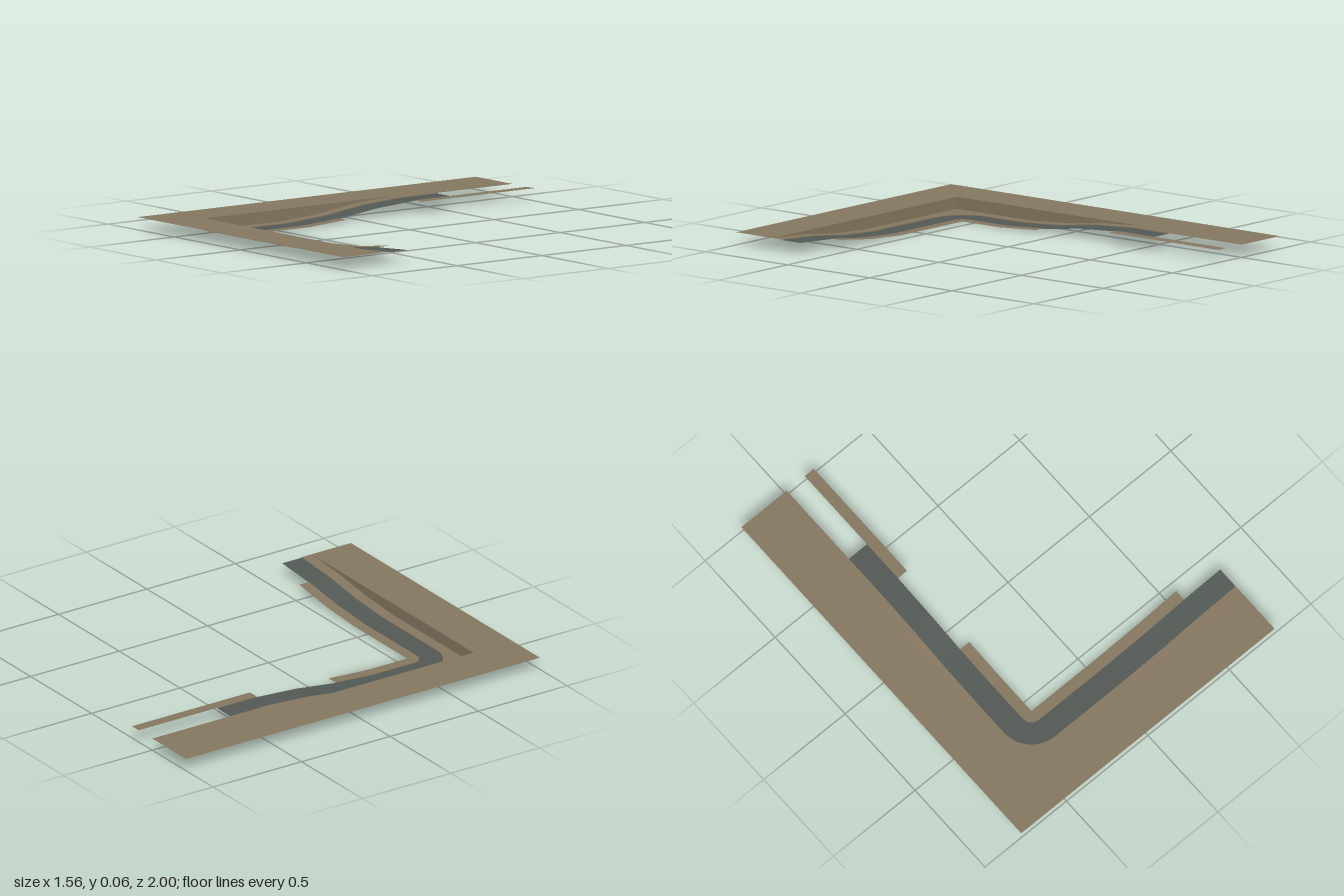
import * as THREE from 'three';

const U = 2 / 9;          // one tile
const TOP = 0.06;         // level of the high ground
const CURB = 0.003;       // step between verge and road
const CX = -1.5 * U, CZ = 2.5 * U; // centre of the bend

const ground = new THREE.MeshStandardMaterial({ name: 'earth brown', color: 0x84765f, side: THREE.DoubleSide });
const asphalt = new THREE.MeshStandardMaterial({ name: 'road grey', color: 0x525853, side: THREE.DoubleSide });

// Stations along the road: back arm, quarter bend, then side arm.
// rise is the fraction of the climb out of the cutting.
const stations = [];
[[7, 1], [5, 1], [4, 1], [3, 0.75], [2, 0.25], [1, 0]].forEach(([s, rise]) => stations.push({ arm: 'back', s, rise }));
const BEND = 8;
for (let i = 0; i <= BEND; i++) stations.push({ arm: 'bend', t: (i / BEND) * Math.PI / 2, rise: 0 });
[[1, 0], [2, 0], [3, 0.25], [4, 0.75], [5, 1]].forEach(([s, rise]) => stations.push({ arm: 'side', s, rise }));
const LAST = stations.length;

// Line along the stations at r tiles outward from the inner edge; square = mitred corner
function line(from, to, r, height, square = false) {
  return stations.slice(from, to).map((p) => {
    const y = height(p.rise);
    if (p.arm === 'back') return [CX - r * U, y, CZ - p.s * U];
    if (p.arm === 'side') return [CX + p.s * U, y, CZ + r * U];
    const c = Math.cos(p.t), s = Math.sin(p.t);
    const k = (square ? r / Math.max(c, s) : r) * U;
    return [CX - c * k, y, CZ + s * k];
  });
}

// Faceted surface between two lines of equal length
function strip(name, a, b, material) {
  const pos = [];
  for (let i = 0; i < a.length - 1; i++) {
    pos.push(...a[i], ...a[i + 1], ...b[i], ...b[i], ...a[i + 1], ...b[i + 1]);
  }
  const geo = new THREE.BufferGeometry();
  geo.setAttribute('position', new THREE.Float32BufferAttribute(pos, 3));
  geo.computeVertexNormals();
  const mesh = new THREE.Mesh(geo, material);
  mesh.name = name;
  return mesh;
}

export function createModel() {
  const model = new THREE.Group();
  model.name = 'sunkenRoadBend';

  const roadY = (rise) => rise * (TOP - CURB);
  const vergeY = (rise) => roadY(rise) + CURB;
  const topY = () => TOP;

  // High ground around the outside
  const X = 3.5 * U;
  model.add(strip('highGround',
    [[-X, TOP, -1], [-X, TOP, 1], [X, TOP, 1]],
    [[-X + U, TOP, -1], [-X + U, TOP, 1 - U], [X, TOP, 1 - U]], ground));

  // Vertical bank dropping into the cutting
  model.add(strip('bank', line(2, LAST, 1, topY, true), line(2, LAST, 1, vergeY, true), ground));

  // Outer verge and its curb
  model.add(strip('outerVerge', line(0, LAST, 1, vergeY, true), line(0, LAST, 0.75, vergeY), ground));
  model.add(strip('outerCurb', line(1, LAST, 0.75, vergeY), line(1, LAST, 0.75, roadY), ground));

  // Road surface
  model.add(strip('road', line(1, LAST, 0.75, roadY), line(1, LAST, 0.25, roadY), asphalt));

  // Inner verges: the flat piece at the back, then the one round the bend
  [[0, 3], [4, LAST - 1]].forEach(([from, to]) => {
    model.add(strip('innerVerge', line(from, to, 0.25, vergeY), line(from, to, 0, vergeY), ground));
    const start = Math.max(from, 1);
    model.add(strip('innerCurb', line(start, to, 0.25, roadY), line(start, to, 0.25, vergeY), ground));
  });

  return model;
}
